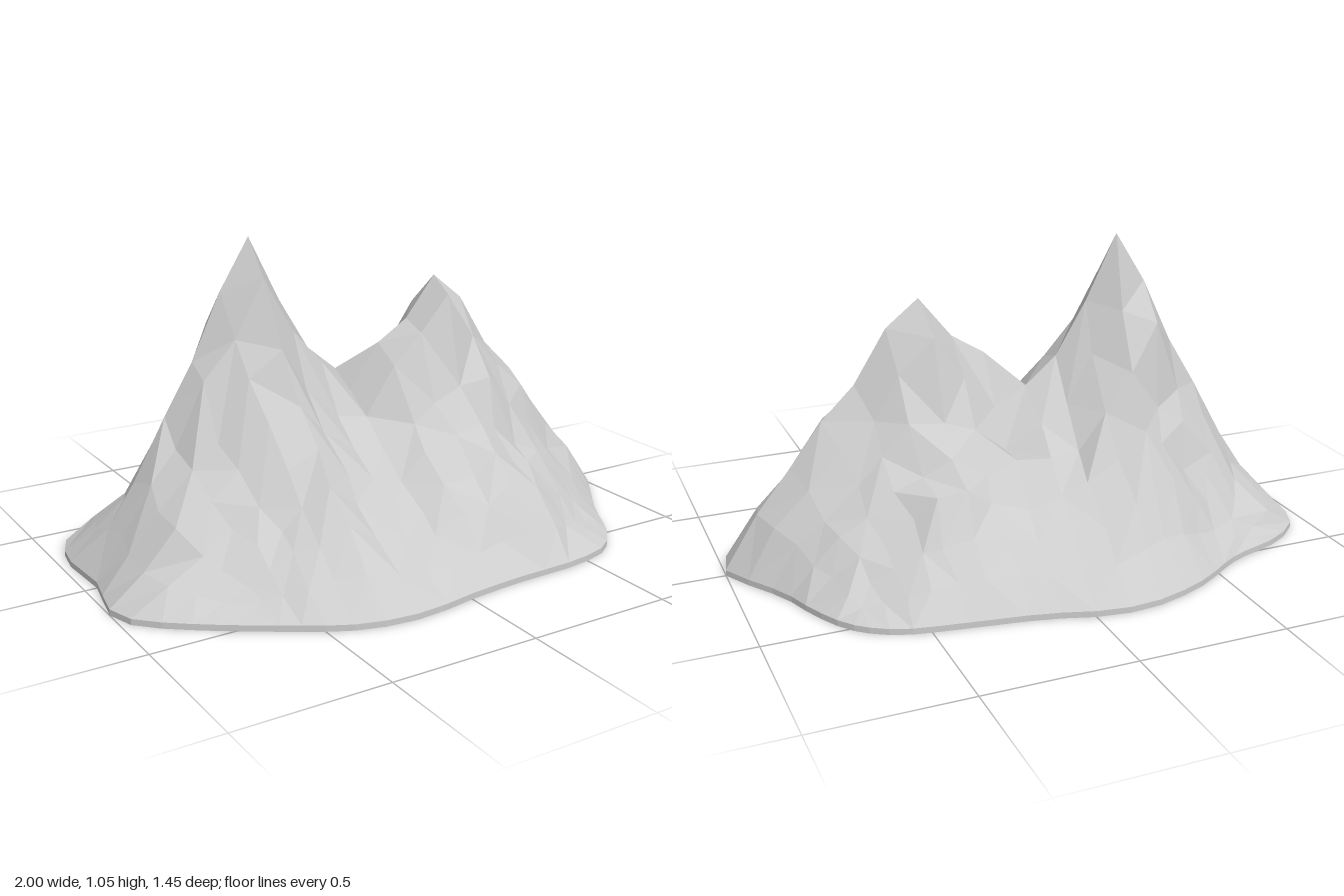
import * as THREE from 'three';

const COLS = 18, ROWS = 14, BASE = 0.02, DEPTH = 0.72;

// Footprint of the mountain as x, z pairs
const footprint = [
  [1, 0], [0.98, 0.1], [0.9, 0.21], [0.8, 0.35], [0.7, 0.52], [0.6, 0.62], [0.45, 0.66], [0.2, 0.67],
  [0, 0.69], [-0.2, 0.72], [-0.4, 0.69], [-0.6, 0.58], [-0.85, 0.41], [-0.97, 0.3], [-1, 0.2],
  [-0.96, 0.01], [-0.97, -0.22], [-0.92, -0.38], [-0.8, -0.47], [-0.6, -0.54], [-0.4, -0.66],
  [-0.2, -0.725], [-0.05, -0.725], [0.15, -0.67], [0.4, -0.63], [0.6, -0.59], [0.72, -0.51],
  [0.8, -0.38], [0.86, -0.23], [0.95, -0.09],
];

// Skyline height for each column, from the left edge to the right edge
const skyline = [0.02, 0.16, 0.31, 0.49, 0.66, 0.88, 1.05, 0.83, 0.65, 0.56,
  0.66, 0.73, 0.87, 0.78, 0.6, 0.49, 0.34, 0.2, 0.02];

// Steep slope from ridge (0) to foot (1)
const slope = [[0, 1], [0.13, 0.86], [0.3, 0.59], [0.45, 0.45], [0.6, 0.34], [0.8, 0.17], [1, 0]];

// Shoulders and the gully between the peaks: column, row, height
const spots = [
  [6, 7, 0.93], [5, 7, 0.74], [7, 7, 0.74], [8, 7, 0.62],
  [10, 8, 0.6], [11, 8, 0.7], [12, 8, 0.82], [13, 8, 0.66], [14, 8, 0.54],
  [9, 7, 0.51], [9, 8, 0.44], [9, 9, 0.35], [9, 10, 0.27],
  [10, 6, 0.5], [10, 5, 0.38], [12, 5, 0.5],
];

function interpolate(table, t) {
  for (let k = 1; k < table.length; k++) {
    const [x0, y0] = table[k - 1], [x1, y1] = table[k];
    if (t <= x1) return y0 + (y1 - y0) * (t - x0) / (x1 - x0);
  }
  return table[table.length - 1][1];
}

function seeded(seed) {
  return () => {
    seed = (seed * 16807) % 2147483647;
    return seed / 2147483647 * 2 - 1;
  };
}

// Table of footprint radius by angle
function radiusTable() {
  const curve = new THREE.CatmullRomCurve3(footprint.map(([x, z]) => new THREE.Vector3(x, 0, z)), true);
  const table = curve.getPoints(240).slice(0, -1).map((p) => {
    const a = Math.atan2(p.z, p.x);
    return [a < 0 ? a + Math.PI * 2 : a, Math.hypot(p.x, p.z)];
  }).sort((a, b) => a[0] - b[0]);
  table.push([Math.PI * 2, table[0][1]]);
  return table;
}

function mountainPoints() {
  const radii = radiusTable(), noise = seeded(4711), points = [];
  for (let j = 0; j <= ROWS; j++) {
    for (let i = 0; i <= COLS; i++) {
      const u = i / COLS * 2 - 1, v = j / ROWS * 2 - 1;
      const r = Math.max(Math.abs(u), Math.abs(v));
      const gx = u, gz = v * DEPTH;

      // Bend the square grid into the footprint
      let angle = Math.atan2(gz, gx);
      if (angle < 0) angle += Math.PI * 2;
      const reach = interpolate(radii, angle) * r, w = Math.pow(r, 1.5);
      let x = gx + (Math.cos(angle) * reach - gx) * w - 0.022 * (1 - r);
      let z = gz + (Math.sin(angle) * reach - gz) * w;

      // Fall away from the ridge on both sides
      const ridgeRow = i >= 3 && i <= 9 ? 6 : 7;
      const t = Math.abs(j - ridgeRow) / (j > ridgeRow ? ROWS - ridgeRow : ridgeRow);
      const top = skyline[i] - BASE, steep = top / 1.03;
      const fall = interpolate(slope, t) * steep + (1 - t) * (1 - steep);
      let y = BASE + top * fall;

      // Rough facets, leaving the ridge and the rim exact
      const n1 = noise(), n2 = noise(), n3 = noise();
      const spot = spots.find((s) => s[0] === i && s[1] === j);
      if (spot) y = spot[2];
      else if (r < 1 && j !== ridgeRow) {
        y += n1 * 0.1 * Math.min(y - BASE, 0.42);
        x += n2 * 0.014;
        z += n3 * 0.012;
      }
      points.push(new THREE.Vector3(x, r > 0.999 ? BASE : y, z));
    }
  }
  return points;
}

function slopesGeometry(points) {
  const index = [], pick = seeded(91);
  for (let j = 0; j < ROWS; j++) {
    for (let i = 0; i < COLS; i++) {
      const a = j * (COLS + 1) + i, b = a + 1, c = a + COLS + 1, d = c + 1;
      if (pick() > 0) index.push(a, c, b, b, c, d);
      else index.push(a, c, d, a, d, b);
    }
  }
  const indexed = new THREE.BufferGeometry().setFromPoints(points);
  indexed.setIndex(index);
  const flat = indexed.toNonIndexed();
  flat.computeVertexNormals();
  return flat;
}

// Thin slab that follows the rim of the slopes
function baseGeometry(points) {
  const at = (i, j) => points[j * (COLS + 1) + i], rim = [];
  for (let i = 0; i < COLS; i++) rim.push(at(i, 0));
  for (let j = 0; j < ROWS; j++) rim.push(at(COLS, j));
  for (let i = COLS; i > 0; i--) rim.push(at(i, ROWS));
  for (let j = ROWS; j > 0; j--) rim.push(at(0, j));
  const shape = new THREE.Shape(rim.map((p) => new THREE.Vector2(p.x, p.z)));
  const slab = new THREE.ExtrudeGeometry(shape, { depth: BASE, bevelEnabled: false });
  return slab.rotateX(Math.PI / 2).translate(0, BASE, 0);
}

export function createModel() {
  const rock = new THREE.MeshStandardMaterial({ color: 0xcccccc });
  rock.name = 'rockGrey';
  const group = new THREE.Group();
  group.name = 'mountain';
  const points = mountainPoints();

  const slopes = new THREE.Mesh(slopesGeometry(points), rock);
  slopes.name = 'slopes';
  const base = new THREE.Mesh(baseGeometry(points), rock);
  base.name = 'base';
  group.add(slopes, base);
  return group;
}
